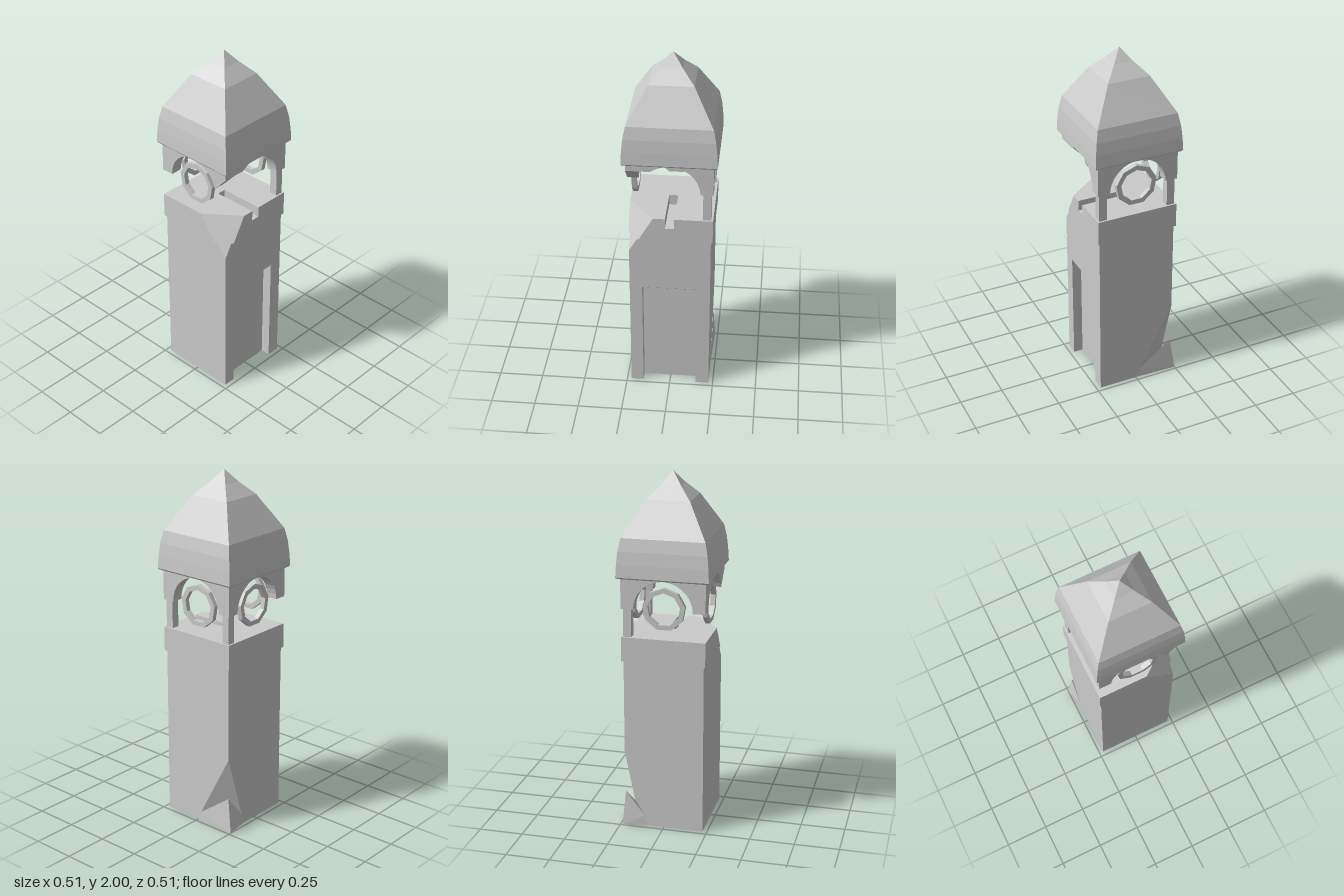
import * as THREE from 'three';
import { ConvexGeometry } from 'three/addons/geometries/ConvexGeometry.js';

const V = (x, y, z) => new THREE.Vector3(x, y, z);

export function createModel() {
  const model = new THREE.Group();
  const mat = new THREE.MeshStandardMaterial({ color: 0xcccccc, flatShading: true });

  const add = (name, geo) => {
    const mesh = new THREE.Mesh(geo, mat);
    mesh.name = name;
    model.add(mesh);
    return mesh;
  };

  // Box given by its two extreme corners
  const box = (name, a, b) => {
    const geo = new THREE.BoxGeometry(b[0] - a[0], b[1] - a[1], b[2] - a[2]);
    geo.translate((a[0] + b[0]) / 2, (a[1] + b[1]) / 2, (a[2] + b[2]) / 2);
    return add(name, geo);
  };

  // Box with everything on the far side of a plane (away from the axis) broken off
  const cutBox = (name, a, b, plane) => {
    const corners = [];
    for (const x of [a[0], b[0]])
      for (const y of [a[1], b[1]])
        for (const z of [a[2], b[2]]) corners.push(V(x, y, z));
    const points = corners.filter((c) => plane.distanceToPoint(c) <= 0);
    for (let i = 0; i < 8; i++)
      for (const bit of [1, 2, 4]) {
        if (i & bit) continue;
        const p = corners[i], q = corners[i | bit];
        const dp = plane.distanceToPoint(p), dq = plane.distanceToPoint(q);
        if (dp * dq < 0) points.push(p.clone().lerp(q, dp / (dp - dq)));
      }
    return add(name, new ConvexGeometry(points));
  };

  // Plane through three points, facing away from the tower's core
  const breakPlane = (...p) => {
    const plane = new THREE.Plane().setFromCoplanarPoints(...p);
    return plane.distanceToPoint(V(0, 0.6, 0)) > 0 ? plane.negate() : plane;
  };

  const W = 0.225; // shaft half width
  const B = 0.235; // ledge half width
  const D = 0.17; // back of the door recess

  // Shaft: upper block with a chipped corner
  const topChip = breakPlane(V(0.05, 1.12, B), V(B, 1.12, 0.09), V(W, 0.9, W));
  cutBox('upperShaft', [-W, 0.66, -W], [W, 0.98, W], topChip);

  // Shaft: lower block with a cracked rear corner, and the loose wedge at its foot
  const apex = V(-W, 0.44, -W), rear = V(-0.02, 0.05, -W), side = V(-W, 0.06, -0.11);
  cutBox('lowerShaft', [-W, 0, -W], [D, 0.66, W], breakPlane(apex, rear, side));
  add('crackedFoot', new ConvexGeometry([
    rear, side, V(-0.222, 0.2, -0.222), V(-0.25, 0, -0.235),
    V(0.006, 0, -W), V(-W, 0, -0.092),
  ]));

  // Door recess: jambs and sloping lintel
  box('doorJamb', [D, 0, 0.155], [W, 0.66, W]);
  box('doorJamb', [D, 0, -W], [W, 0.66, -0.15]);
  add('doorLintel', new ConvexGeometry([-0.15, 0.155].flatMap((z) => [
    V(D, 0.62, z), V(D, 0.66, z), V(W, 0.66, z),
  ])));

  // Ledge, with a slot in its floor
  cutBox('ledgeFront', [-B, 0.98, 0.025], [B, 1.12, B], topChip);
  box('ledgeBack', [-B, 0.98, -B], [B, 1.12, -0.025]);
  box('ledgeSlotFloor', [-0.02, 0.98, -0.025], [B, 1.06, 0.025]);
  box('ledgeMiddle', [-B, 0.98, -0.025], [-0.02, 1.12, 0.025]);

  // Two surviving posts at the back
  for (const s of [-1, 1]) {
    const x = s * 0.2025;
    box('belfryPost', [x - 0.0225, 1.12, -W], [x + 0.0225, 1.28, -0.18]);
  }

  // Arched walls: each end is whole or broken, given as outline points and arc angle
  const whole = { outline: [[B, 1.28]], angle: 0 };
  const slanted = { outline: [[B, 1.41]], angle: 0.29 };
  const stub = { outline: [[B, 1.41]], angle: 0.907 };
  const archWall = (name, leftEnd, rightEnd, turn) => {
    const shape = new THREE.Shape();
    shape.moveTo(-B, 1.45);
    leftEnd.outline.forEach(([x, y]) => shape.lineTo(-x, y));
    shape.absarc(0, 1.28, 0.165, Math.PI - leftEnd.angle, rightEnd.angle, true);
    rightEnd.outline.forEach(([x, y]) => shape.lineTo(x, y));
    shape.lineTo(B, 1.45);
    const geo = new THREE.ExtrudeGeometry(shape, { depth: B - D, bevelEnabled: false, curveSegments: 9 });
    geo.translate(0, 0, D).rotateY(turn);
    add(name, geo);
  };
  archWall('frontArch', whole, slanted, 0);
  archWall('rightSideArch', stub, whole, Math.PI / 2);
  archWall('backArch', whole, whole, Math.PI);
  archWall('leftSideArch', whole, whole, -Math.PI / 2);

  // Nine-sided clock rims in three of the arches
  const nonagon = (path, r) => {
    for (let i = 0; i < 9; i++) {
      const a = Math.PI / 2 + (i * Math.PI * 2) / 9;
      path[i ? 'lineTo' : 'moveTo'](r * Math.cos(a), r * Math.sin(a));
    }
    path.closePath();
    return path;
  };
  const rim = nonagon(new THREE.Shape(), 0.12);
  rim.holes.push(nonagon(new THREE.Path(), 0.092));
  for (const turn of [0, Math.PI, -Math.PI / 2]) {
    const geo = new THREE.ExtrudeGeometry(rim, { depth: 0.027, bevelEnabled: false });
    geo.translate(0, 1.285, 0.19).rotateY(turn);
    add('clockRim', geo);
  }

  // Four-sided bell roof with a closed underside
  const profile = [
    [0, 1.45], [0.25, 1.45], [0.256, 1.458], [0.252, 1.53], [0.245, 1.6],
    [0.231, 1.67], [0.121, 1.86], [0.055, 1.93], [0, 2],
  ].map(([r, y]) => new THREE.Vector2(r * Math.SQRT2, y));
  const roof = new THREE.LatheGeometry(profile, 4, Math.PI / 4).toNonIndexed();
  roof.computeVertexNormals();
  add('roof', roof);

  return model;
}
